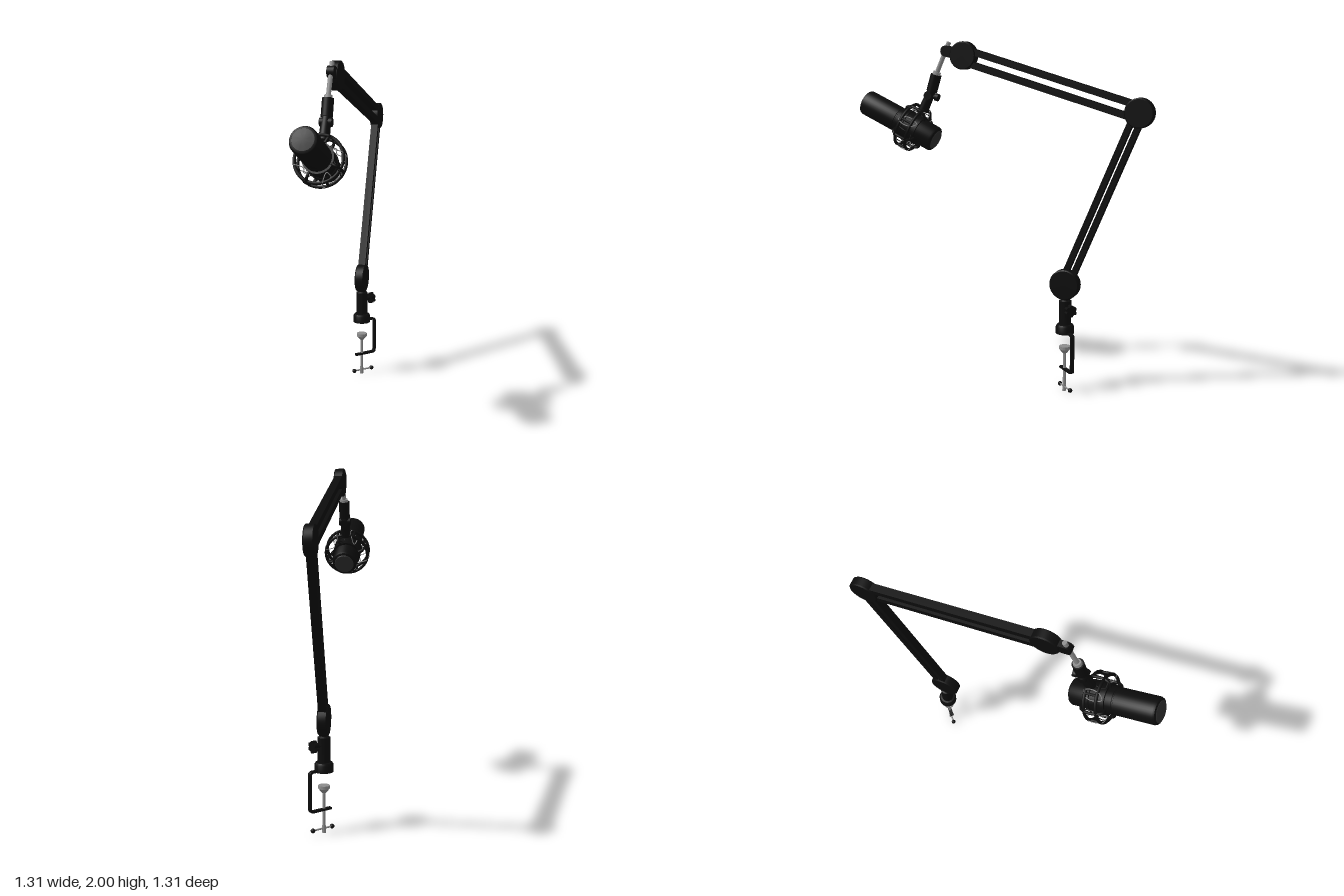
import * as THREE from 'three';
import { toCreasedNormals } from 'three/addons/utils/BufferGeometryUtils.js';

const paint = (color) => new THREE.MeshStandardMaterial({ color });
const black = paint(0x0c0c0c);
const dark = paint(0x2c2c2c);
const metal = paint(0x8c8c8c);
const R2 = Math.SQRT2;
const UP = new THREE.Vector3(0, 1, 0);
const V = (x, y, z = 0) => new THREE.Vector3(x, y, z);
// point in the arm's own upright plane, from the width seen at 45 degrees
const P = (x, y) => V(x * R2, y);

function add(parent, name, geometry, material, position) {
  const mesh = new THREE.Mesh(geometry, material);
  mesh.name = name;
  if (position) mesh.position.copy(position);
  parent.add(mesh);
  return mesh;
}

// cylinder or cone from a to b
function rod(parent, name, a, b, rA, material = black, rB = rA, sides = 24) {
  const dir = b.clone().sub(a);
  const mesh = add(parent, name, new THREE.CylinderGeometry(rB, rA, dir.length(), sides),
    material, a.clone().add(b).multiplyScalar(0.5));
  mesh.quaternion.setFromUnitVectors(UP, dir.normalize());
  return mesh;
}

function lathe(parent, name, profile, material, sides = 40) {
  const geometry = new THREE.LatheGeometry(profile.map(([r, y]) => new THREE.Vector2(r, y)), sides);
  return add(parent, name, toCreasedNormals(geometry, 0.6), material);
}

// pivot disc lying across the arm plane
function joint(parent, name, p, r) {
  const t = 0.028, c = 0.006;
  const disc = lathe(parent, name,
    [[0, -t], [r - c, -t], [r, -t + c], [r, t - c], [r - c, t], [0, t]], black);
  disc.position.copy(p);
  disc.rotation.x = Math.PI / 2;
}

// pair of parallel bars between two joints
function armBars(parent, name, a, b, size, offset) {
  const arm = new THREE.Group();
  arm.name = name;
  const dir = b.clone().sub(a);
  arm.position.copy(a).add(b).multiplyScalar(0.5);
  arm.rotation.z = Math.atan2(dir.y, dir.x);
  for (const s of [-1, 1])
    add(arm, name + 'Bar', new THREE.BoxGeometry(dir.length(), size, 0.044), black, V(0, s * offset));
  parent.add(arm);
}

function buildClamp() {
  const g = new THREE.Group();
  g.name = 'deskClamp';
  g.position.set(0.298, 0, -0.298);
  // post with a flared foot
  lathe(g, 'post', [[0, 0.348], [0.053, 0.348], [0.053, 0.388], [0.046, 0.4], [0.035, 0.402],
    [0.035, 0.54], [0.025, 0.547], [0.025, 0.58], [0, 0.58]], black);
  // C-shaped strap with rounded corners
  const w = 0.012, x0 = -0.045, x1 = 0.1, y0 = 0.127, y1 = 0.362, r = 0.024;
  const s = new THREE.Shape();
  s.moveTo(x0, y0).lineTo(x1 - r, y0).quadraticCurveTo(x1, y0, x1, y0 + r)
    .lineTo(x1, y1 - r).quadraticCurveTo(x1, y1, x1 - r, y1).lineTo(0, y1)
    .lineTo(0, y1 - w).lineTo(x1 - r, y1 - w).quadraticCurveTo(x1 - w, y1 - w, x1 - w, y1 - r)
    .lineTo(x1 - w, y0 + r).quadraticCurveTo(x1 - w, y0 + w, x1 - r, y0 + w).lineTo(x0, y0 + w);
  const strap = new THREE.ExtrudeGeometry(s, { depth: 0.022, bevelEnabled: false, curveSegments: 6 });
  add(g, 'strap', strap, black, V(0, 0, -0.011));
  // screw, pressure pad and turning bar
  rod(g, 'screw', V(0, 0.004), V(0, 0.25), 0.009, metal);
  rod(g, 'screwEnd', V(0, 0), V(0, 0.04), 0.011, metal);
  lathe(g, 'pressurePad', [[0, 0.225], [0.012, 0.228], [0.032, 0.252], [0.032, 0.27], [0, 0.27]], metal);
  rod(g, 'turningBar', V(-0.055, 0.025), V(0.075, 0.025), 0.005, metal);
  for (const x of [-0.055, 0.075])
    add(g, 'barKnob', new THREE.SphereGeometry(0.013, 16, 12), black, V(x, 0.025));
  // lobed tightening knob
  rod(g, 'knobStem', V(0.02, 0.495), V(0.06, 0.495), 0.012);
  rod(g, 'knob', V(0.054, 0.495), V(0.082, 0.495), 0.026);
  for (let i = 0; i < 6; i++) {
    const a = i * Math.PI / 3, y = 0.495 + 0.024 * Math.cos(a), z = 0.024 * Math.sin(a);
    rod(g, 'knobLobe', V(0.054, y, z), V(0.082, y, z), 0.011, black, 0.011, 12);
  }
  return g;
}

// microphone and its cage, built along y with the lower end at y = 0
function buildMicrophone() {
  const g = new THREE.Group();
  g.name = 'microphone';
  const low = P(-0.273, 1.43), high = P(-0.602, 1.645);
  const L = low.distanceTo(high), R = 0.075, mid = 0.17;
  g.position.copy(low);
  g.quaternion.setFromUnitVectors(UP, high.clone().sub(low).normalize());
  lathe(g, 'body', [[0, 0.004], [0.06, 0.004], [R - 0.004, 0.01], [R, 0.02], [R, 0.262], [R - 0.002, 0.264],
    [R - 0.002, 0.27], [R, 0.272], [R, L - 0.018], [R - 0.005, L - 0.007], [0.06, L - 0.002], [0, L - 0.002]], black);
  lathe(g, 'grilleCap', [[0.062, L - 0.004], [0.058, L], [0.03, L + 0.003], [0, L + 0.004]], dark);
  lathe(g, 'endCap', [[0, 0], [0.055, 0], [0.06, 0.006]], dark);
  // inner cradle
  lathe(g, 'cradle', [[R, mid - 0.055], [0.086, mid - 0.055], [0.086, mid - 0.035], [0.081, mid - 0.033],
    [0.081, mid + 0.033], [0.086, mid + 0.035], [0.086, mid + 0.055], [R, mid + 0.055]], black);
  // outer hoops
  for (const s of [-1, 1]) {
    const hoop = add(g, 'outerHoop', new THREE.TorusGeometry(0.13, 0.009, 10, 56), black, V(0, mid + s * 0.035));
    hoop.rotation.x = Math.PI / 2;
  }
  // bowed struts and elastic loops round the cage
  for (let i = 0; i < 8; i++) {
    const spoke = new THREE.Group();
    spoke.name = 'suspension';
    spoke.rotation.y = (i + 0.5) * Math.PI / 4;
    g.add(spoke);
    if (i % 2) {
      const bow = new THREE.CatmullRomCurve3([V(0.084, mid - 0.065), V(0.113, mid - 0.062), V(0.131, mid - 0.035),
        V(0.135, mid), V(0.131, mid + 0.035), V(0.113, mid + 0.062), V(0.084, mid + 0.065)]);
      add(spoke, 'cageStrut', new THREE.TubeGeometry(bow, 24, 0.008, 8), black);
    } else {
      rod(spoke, 'cageLink', V(0.13, mid - 0.035), V(0.13, mid + 0.035), 0.007, black, 0.007, 10);
    }
    const loop = new THREE.CatmullRomCurve3([V(0.087, mid - 0.045, -0.02), V(0.128, mid - 0.047, 0.012),
      V(0.138, mid, 0.026), V(0.128, mid + 0.047, 0.012), V(0.087, mid + 0.045, -0.02), V(0.1, mid, -0.03)], true);
    add(spoke, 'elasticLoop', new THREE.TubeGeometry(loop, 32, 0.0025, 6, true), i % 2 ? black : metal);
  }
  return g;
}

export function createModel() {
  const model = new THREE.Group();
  model.name = 'microphoneBoomArm';
  model.add(buildClamp());

  // everything above the clamp lies in one upright plane turned 45 degrees
  const rig = new THREE.Group();
  rig.name = 'boom';
  rig.rotation.y = Math.PI / 4;
  model.add(rig);

  const base = P(0.296, 0.635), elbow = P(0.585, 1.618), tip = P(-0.145, 1.92);
  armBars(rig, 'lowerArm', base, elbow, 0.031, 0.0235);
  armBars(rig, 'upperArm', elbow, tip, 0.036, 0.036);
  joint(rig, 'baseJoint', base, 0.087);
  joint(rig, 'elbowJoint', elbow, 0.082);
  joint(rig, 'tipJoint', tip, 0.08);

  // rounded bracket at the tip
  const end = P(-0.222, 1.945);
  const bar = add(rig, 'tipBracket', new THREE.BoxGeometry(tip.distanceTo(end), 0.062, 0.04), black,
    tip.clone().add(end).multiplyScalar(0.5));
  bar.rotation.z = Math.atan2(end.y - tip.y, end.x - tip.x);
  rod(rig, 'bracketEnd', end.clone().setZ(-0.02), end.clone().setZ(0.02), 0.031);

  // hanger rod, swivel collar and handle
  const top = P(-0.211, 1.995), collar = P(-0.27, 1.81), neck = P(-0.291, 1.715), foot = P(-0.332, 1.6);
  rod(rig, 'hangerRod', collar, top, 0.013, metal);
  rod(rig, 'collarNut', collar.clone().lerp(neck, 0.1), collar.clone().lerp(top, 0.08), 0.026, metal, 0.022);
  rod(rig, 'swivelCollar', neck, collar, 0.032);
  rod(rig, 'handle', foot, neck.clone().lerp(collar, 0.1), 0.03, black, 0.026);
  const pivot = neck.clone().lerp(foot, 0.22);
  rod(rig, 'handlePivot', pivot.clone().setZ(-0.034), pivot.clone().setZ(0.034), 0.024);
  rod(rig, 'handleKnobStem', pivot, pivot.clone().add(V(0.05, -0.012)), 0.009);
  rod(rig, 'handleKnob', pivot.clone().add(V(0.036, -0.008)), pivot.clone().add(V(0.056, -0.013)), 0.022, black, 0.022, 12);

  rig.add(buildMicrophone());
  return model;
}
